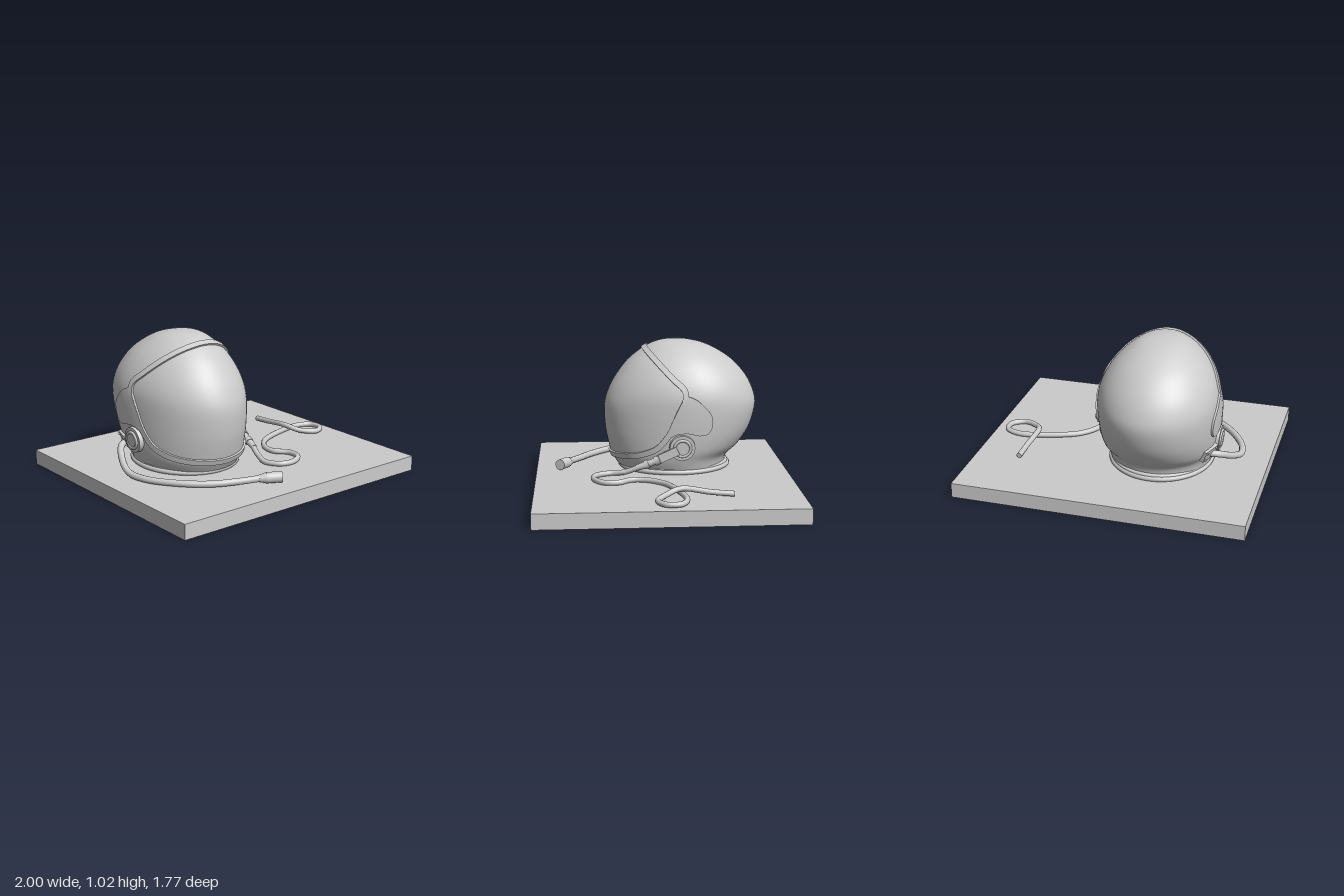
import * as THREE from 'three';
import { toCreasedNormals } from 'three/addons/utils/BufferGeometryUtils.js';

const V = (x, y, z) => new THREE.Vector3(x, y, z);
const mat = new THREE.MeshStandardMaterial({ color: 0xcccccc });
const thin = new THREE.MeshStandardMaterial({ color: 0xcccccc, side: THREE.DoubleSide });
const CX = -0.26; // helmet centre line

// Helmet sections: height, front z, back z, half width
const KEYS = [
  [0.13, 0.31, -0.465, 0.35], [0.2, 0.35, -0.485, 0.375], [0.28, 0.373, -0.57, 0.395],
  [0.4, 0.395, -0.645, 0.407], [0.55, 0.4, -0.685, 0.413], [0.66, 0.37, -0.665, 0.405],
  [0.77, 0.31, -0.605, 0.365], [0.88, 0.22, -0.5, 0.29], [0.97, 0.1, -0.35, 0.185],
  [1.008, 0, -0.22, 0.1], [1.02, -0.1, -0.1, 0.001],
];
const splines = [1, 2, 3].map(k => new THREE.SplineCurve(KEYS.map(r => new THREE.Vector2(r[0], r[k]))));
const SECTIONS = [];
for (let i = 0; i <= 60; i++) {
  const p = splines.map(s => s.getPoint(i / 60));
  SECTIONS.push([p[0].y === undefined ? 0 : p[0].x, p[0].y, p[1].y, p[2].y]);
}

// Interpolated section at a height
function sectionAt(y) {
  let i = 0;
  while (i < SECTIONS.length - 2 && SECTIONS[i + 1][0] < y) i++;
  const a = SECTIONS[i], b = SECTIONS[i + 1];
  const t = THREE.MathUtils.clamp((y - a[0]) / (b[0] - a[0]), 0, 1);
  const [zf, zb, hw] = [1, 2, 3].map(k => a[k] + (b[k] - a[k]) * t);
  return { zf, zb, hw, zc: zb + (zf - zb) * 0.44 };
}
const depth = (s, z) => (z - s.zc) / Math.max(1e-3, z > s.zc ? s.zf - s.zc : s.zc - s.zb);

// Half width of the helmet at a point of its side view
function surfX(y, z) {
  const s = sectionAt(y);
  return s.hw * Math.sqrt(Math.max(0, 1 - depth(s, z) ** 2));
}
function field(p) {
  const s = sectionAt(p.y);
  return (p.x / s.hw) ** 2 + depth(s, p.z) ** 2 - 1;
}
function gradient(p) {
  const e = 0.008;
  const d = (x, y, z) => (field(V(p.x + x, p.y + y, p.z + z)) - field(V(p.x - x, p.y - y, p.z - z))) / (2 * e);
  return V(d(e, 0, 0), d(0, e, 0), d(0, 0, e));
}
function project(p) {
  for (let k = 0; k < 3; k++) {
    const g = gradient(p);
    p.addScaledVector(g, -field(p) / g.lengthSq());
  }
  return p;
}

// Skin over rows of points; columns always wrap, rows may wrap
function skin(rows, wrapRows = false) {
  const n = rows[0].length, m = rows.length, idx = [];
  for (let i = 0; i < (wrapRows ? m : m - 1); i++) {
    for (let j = 0; j < n; j++) {
      const a = i * n + j, b = i * n + (j + 1) % n;
      const c = ((i + 1) % m) * n + j, d = ((i + 1) % m) * n + (j + 1) % n;
      idx.push(a, c, b, b, c, d);
    }
  }
  const g = new THREE.BufferGeometry().setFromPoints(rows.flat());
  g.setIndex(idx);
  g.computeVertexNormals();
  return g;
}

export function createModel() {
  const model = new THREE.Group();
  const helmet = new THREE.Group();
  helmet.name = 'helmet';
  helmet.position.x = CX;
  model.add(helmet);

  const add = (parent, name, geo, material = mat) => {
    const m = new THREE.Mesh(geo, material);
    m.name = name;
    parent.add(m);
    return m;
  };
  const rod = (parent, name, a, b, r0, r1 = r0, sides = 24) => {
    const m = add(parent, name, new THREE.CylinderGeometry(r1, r0, a.distanceTo(b), sides));
    m.position.copy(a).lerp(b, 0.5);
    m.quaternion.setFromUnitVectors(V(0, 1, 0), b.clone().sub(a).normalize());
    return m;
  };
  const hose = (parent, name, pts, r, segs, closed = false) => {
    const curve = new THREE.CatmullRomCurve3(pts.map(p => V(...p)), closed);
    add(parent, name, new THREE.TubeGeometry(curve, segs, r, 12, closed));
    if (closed) return;
    // end caps
    [0, 1].forEach(t => {
      const p = curve.getPoint(t), d = curve.getTangent(t).multiplyScalar(t ? 0.002 : -0.002);
      rod(parent, name + 'End', p, p.clone().add(d), r, r, 12);
    });
  };

  // Display board
  add(model, 'baseBoard', new THREE.BoxGeometry(2, 0.105, 1.77)).position.y = 0.0525;

  // Shell and visor dome
  add(helmet, 'shell', skin(SECTIONS.map(([y, zf, zb, hw]) => {
    const zc = zb + (zf - zb) * 0.44;
    return Array.from({ length: 64 }, (_, j) => {
      const t = j / 64 * Math.PI * 2, s = Math.sin(t);
      return V(hw * Math.cos(t), y, zc + s * (s > 0 ? zf - zc : zc - zb));
    });
  })), thin);

  // Neck ring under the shell
  const oval = (k, y) => Array.from({ length: 32 }, (_, j) => {
    const t = j / 32 * Math.PI * 2;
    return [0.35 * k * Math.cos(t), y, -0.1 + 0.385 * k * Math.sin(t)];
  });
  hose(helmet, 'neckRing', oval(1, 0.12), 0.018, 96, true);
  hose(helmet, 'neckSeal', oval(0.97, 0.138), 0.015, 96, true);

  // Raised visor frame, a flat strip following the surface
  const half = [0.955, 0.92, 0.86, 0.78, 0.7].map(y => [y - 0.85, y]).concat([
    [-0.145, 0.62], [-0.09, 0.51], [-0.04, 0.4], [0.04, 0.3], [0.14, 0.25], [0.25, 0.222], [0.32, 0.212],
  ]).map(([z, y]) => V(surfX(y, z), y, z));
  const loop = [V(0, 0.968, 0.115), ...half, V(0, 0.205, 0.352),
    ...half.slice().reverse().map(p => V(-p.x, p.y, p.z))];
  const path = new THREE.CatmullRomCurve3(loop, true);
  const N = 160;
  const pts = Array.from({ length: N }, (_, i) => project(path.getPointAt(i / N)));
  const frame = pts.map((p, i) => {
    const t = pts[(i + 1) % N].clone().sub(pts[(i + N - 1) % N]).normalize();
    const n = gradient(p).normalize();
    const b = t.clone().cross(n).normalize();
    return [[1, -1], [1, 1], [-1, 1], [-1, -1]].map(([u, v]) =>
      p.clone().addScaledVector(b, u * 0.02).addScaledVector(n, v * 0.013));
  });
  add(helmet, 'visorFrame', toCreasedNormals(skin(frame, true), 0.7), thin);

  // Side plates behind the visor frame
  const outline = new THREE.SplineCurve([
    [-0.09, 0.56], [-0.15, 0.66], [-0.22, 0.65], [-0.29, 0.59], [-0.335, 0.53], [-0.34, 0.46],
    [-0.31, 0.405], [-0.25, 0.393], [-0.17, 0.41], [-0.1, 0.405], [-0.04, 0.385], [-0.05, 0.46], [-0.09, 0.56],
  ].map(p => new THREE.Vector2(...p))).getPoints(60).slice(0, -1);
  const rings = [[1, -0.012], [1, 0.013], [0.75, 0.013], [0.5, 0.013], [0.25, 0.013], [0.001, 0.013]];

  for (const s of [1, -1]) {
    const rows = rings.map(([k, off]) => {
      const row = outline.map(q => {
        const z = -0.19 + (q.x + 0.19) * k, y = 0.5 + (q.y - 0.5) * k;
        return V(s * (surfX(y, z) + off), y, z);
      });
      return s > 0 ? row : row.reverse();
    });
    add(helmet, 'sidePlate', toCreasedNormals(skin(rows), 0.7), thin);

    // Round ear fitting
    const ear = new THREE.Group();
    ear.name = 'earFitting';
    ear.position.set(s * 0.395, 0.31, -0.13);
    ear.rotation.z = -s * Math.PI / 2 - s * 0.06;
    helmet.add(ear);
    add(ear, 'earDisc', new THREE.CylinderGeometry(0.088, 0.092, 0.05, 40));
    const ring = add(ear, 'earRing', new THREE.TorusGeometry(0.056, 0.01, 10, 40));
    ring.rotation.x = Math.PI / 2;
    ring.position.y = 0.027;
    add(ear, 'earCap', new THREE.CylinderGeometry(0.046, 0.046, 0.012, 32)).position.y = 0.028;
  }

  // Left side: arm and coupling leading to the thin hose
  const arm = add(model, 'hoseArm', new THREE.BoxGeometry(0.022, 0.06, 0.15));
  arm.position.set(0.165, 0.265, -0.03);
  arm.lookAt(0.155, 0.205, 0.1);
  const c = [V(0.158, 0.235, 0.025), V(0.15, 0.22, 0.06), V(0.14, 0.19, 0.13), V(0.132, 0.17, 0.19)];
  rod(model, 'couplingCollar', c[0], c[1], 0.032);
  rod(model, 'couplingBody', c[1], c[2], 0.024);
  rod(model, 'couplingNut', c[1].clone().lerp(c[2], 0.6), c[2], 0.031, 0.031, 8);
  rod(model, 'couplingTip', c[2], c[3], 0.025, 0.02);
  hose(model, 'thinHose', [
    [0.132, 0.17, 0.18], [0.105, 0.135, 0.27], [0.08, 0.123, 0.37], [0.135, 0.123, 0.465], [0.23, 0.123, 0.485],
    [0.335, 0.123, 0.42], [0.343, 0.123, 0.32], [0.275, 0.123, 0.23], [0.283, 0.123, 0.135], [0.38, 0.123, 0.015],
    [0.565, 0.123, -0.065], [0.8, 0.123, -0.107], [0.905, 0.123, -0.06], [0.91, 0.123, 0.03], [0.82, 0.123, 0.083],
    [0.715, 0.135, 0.02], [0.663, 0.16, -0.08], [0.678, 0.138, -0.27], [0.685, 0.125, -0.425],
  ], 0.019, 240);

  // Right side: bolted bracket and thick hose
  const bracket = new THREE.Group();
  bracket.name = 'hoseBracket';
  const at = V(-surfX(0.27, -0.29), 0.27, -0.29);
  bracket.position.copy(at);
  bracket.lookAt(at.clone().add(gradient(at)));
  helmet.add(bracket);
  add(bracket, 'bracketPlate', new THREE.BoxGeometry(0.15, 0.085, 0.03));
  for (const x of [-0.055, 0.055]) for (const y of [-0.028, 0.028]) {
    const bolt = add(bracket, 'bracketBolt', new THREE.CylinderGeometry(0.008, 0.008, 0.012, 12));
    bolt.rotation.x = Math.PI / 2;
    bolt.position.set(x, y, 0.018);
  }
  hose(model, 'thickHose', [
    [-0.62, 0.255, -0.27], [-0.69, 0.245, -0.245], [-0.76, 0.19, -0.14], [-0.8, 0.14, 0], [-0.775, 0.13, 0.15],
    [-0.66, 0.13, 0.34], [-0.5, 0.13, 0.49], [-0.33, 0.137, 0.585], [-0.2, 0.147, 0.65],
  ], 0.023, 120);
  const e = [V(-0.21, 0.146, 0.645), V(-0.165, 0.148, 0.668), V(-0.075, 0.15, 0.72)];
  rod(model, 'connectorNeck', e[0], e[1], 0.024, 0.037);
  rod(model, 'connector', e[1], e[2], 0.037);
  return model;
}
